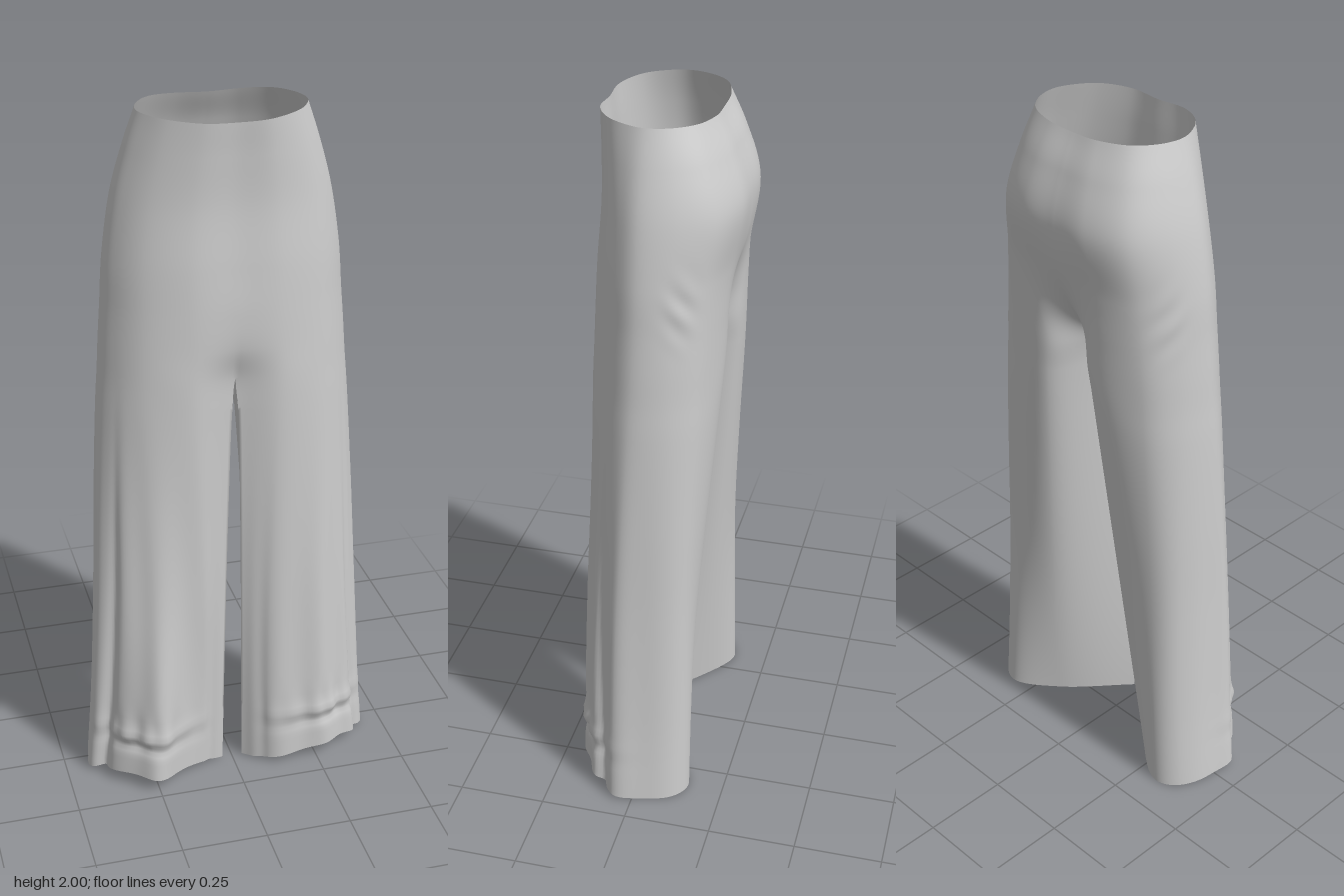
import * as THREE from 'three';
import { mergeVertices } from 'three/addons/utils/BufferGeometryUtils.js';

const { smoothstep: step, lerp } = THREE.MathUtils;
const bump = (v, centre, width) => Math.exp(-(((v - centre) / width) ** 2));

const COLS = 112, ROWS = 140, CROTCH = 1.28;

// Height, half width, front depth, back depth
const levels = [
  [2, .23, .152, -.152],
  [1.9, .264, .146, -.195],
  [1.77, .3, .143, -.231],
  [1.6, .328, .155, -.208],
  [1.47, .338, .163, -.2],
  [1.37, .346, .168, -.195],
  [CROTCH, .352, .172, -.19],
  [1.18, .36, .175, -.185],
  [.9, .376, .18, -.165],
  [.6, .39, .185, -.148],
  [.25, .41, .19, -.146],
  [0, .43, .192, -.148],
];

// Outline from front to back as fractions of half width and depth: oval waist, cornered hem
const waistShape = [[.39, 1], [.74, .73], [.92, .37], [1, 0], [.94, .42], [.74, .8]];
const hemShape = [[.24, .88], [.6, .95], [.86, .69], [1, .28], [.9, .75], [.74, 1]];

// Half section from centre front round the outside to centre back.
// Below the crotch both ends meet at the inner leg, closing the leg tube.
function section([y, width, front, back], flare) {
  const legness = 1 - step(y, .3, 1.7), low = 1 - step(y, 0, .8);
  const inner = .03 * Math.sqrt(Math.max(0, 1 - y / CROTCH));
  const innerZ = lerp(.112, .138, Math.min(1, y / CROTCH));
  const frontSeam = lerp(innerZ, front, step(y, CROTCH, 1.42));
  const backSeam = lerp(frontSeam, back, step(y, CROTCH, 1.6) ** .4);
  const pts = waistShape.map(([x, z], i) => new THREE.Vector3(
    width * lerp(x, hemShape[i][0], legness), y,
    (i < 4 ? front : back) * lerp(z, hemShape[i][1], legness)));
  pts[0].z -= .8 * flare * low;
  pts[1].z += flare * low;
  // Inner back of the thigh, drifting outward towards the hem
  const drop = y / 1.35, seat = step(y, 1.35, 1.6);
  pts.push(new THREE.Vector3(
    lerp(lerp(.19, .08, drop), .38 * width, seat), y,
    lerp(lerp(-.066, -.182, drop), .985 * back, seat)));
  return new THREE.CatmullRomCurve3([
    new THREE.Vector3(inner, y, frontSeam), ...pts,
    new THREE.Vector3(inner, y, backSeam),
  ]).getPoints(COLS);
}

// Surface points of one half, indexed [row][column]
function halfGrid(flare, phase) {
  const rings = levels.map(level => section(level, flare));
  const columns = rings[0].map((_, j) =>
    new THREE.CatmullRomCurve3(rings.map(r => r[j])).getPoints(ROWS));
  return Array.from({ length: ROWS + 1 }, (_, i) => columns.map((col, j) => {
    const p = col[i].clone(), u = j / COLS, y = p.y;
    const a = columns[Math.max(j - 1, 0)][i], b = columns[Math.min(j + 1, COLS)][i];
    const normal = new THREE.Vector3(a.z - b.z, 0, b.x - a.x).normalize();
    const drape = 1 - step(y, .15, 1.35);
    const front = step(u, .02, .12) * (1 - step(u, .5, .62));
    // Long hanging folds on the front and outer side
    let d = drape * front * .005 * Math.sin(u * 52 + phase + y * .8);
    // Deep fold down the side seam
    d -= .016 * drape * bump(u, .43 - .05 * y, .022);
    // Bunched cloth above the front hem
    const bunch = front * bump(u, .3, .14);
    d += bunch * .009 * (bump(y, .17, .025) - bump(y, .125, .025));
    d += bunch * .004 * Math.sin(u * 110 + phase) * bump(y, .18, .06);
    // Slanting creases under the seat
    d += .003 * bump(u, .66, .05) * Math.sin((y + u * .8) * 65) * bump(y, 1.55, .08);
    p.addScaledVector(normal, d);
    // Front hem lifts, and the waist dips at the centre
    p.y += .045 * bump(u, .3, .17) * (1 - step(y, 0, .2));
    p.y -= .008 * step(y, 1.9, 2) * (1 - step(p.x, 0, .2));
    p.x = (j === 0 || j === COLS) && y >= CROTCH ? 0 : Math.max(p.x, 0);
    return p;
  }));
}

export function createModel() {
  const positions = [], index = [];
  const addHalf = (grid, side) => {
    const base = positions.length / 3, w = COLS + 1;
    grid.flat().forEach(p => positions.push(side * p.x, p.y, p.z));
    for (let i = 0; i < ROWS; i++) for (let j = 0; j < COLS; j++) {
      const a = base + i * w + j, b = a + 1, c = a + w, d = c + 1;
      if (side > 0) index.push(a, c, b, b, c, d);
      else index.push(a, b, c, b, d, c);
    }
  };
  addHalf(halfGrid(0, 0), 1);
  addHalf(halfGrid(.042, 1.4), -1);

  let geometry = new THREE.BufferGeometry();
  geometry.setAttribute('position', new THREE.Float32BufferAttribute(positions, 3));
  geometry.setIndex(index);
  geometry = mergeVertices(geometry, 1e-4); // join the halves at the centre seams
  geometry.computeVertexNormals();

  const trousers = new THREE.Mesh(geometry,
    new THREE.MeshStandardMaterial({ color: 0xcccccc, side: THREE.DoubleSide }));
  trousers.name = 'wideLegTrousers';
  const group = new THREE.Group();
  group.name = 'trousers';
  group.add(trousers);
  return group;
}
